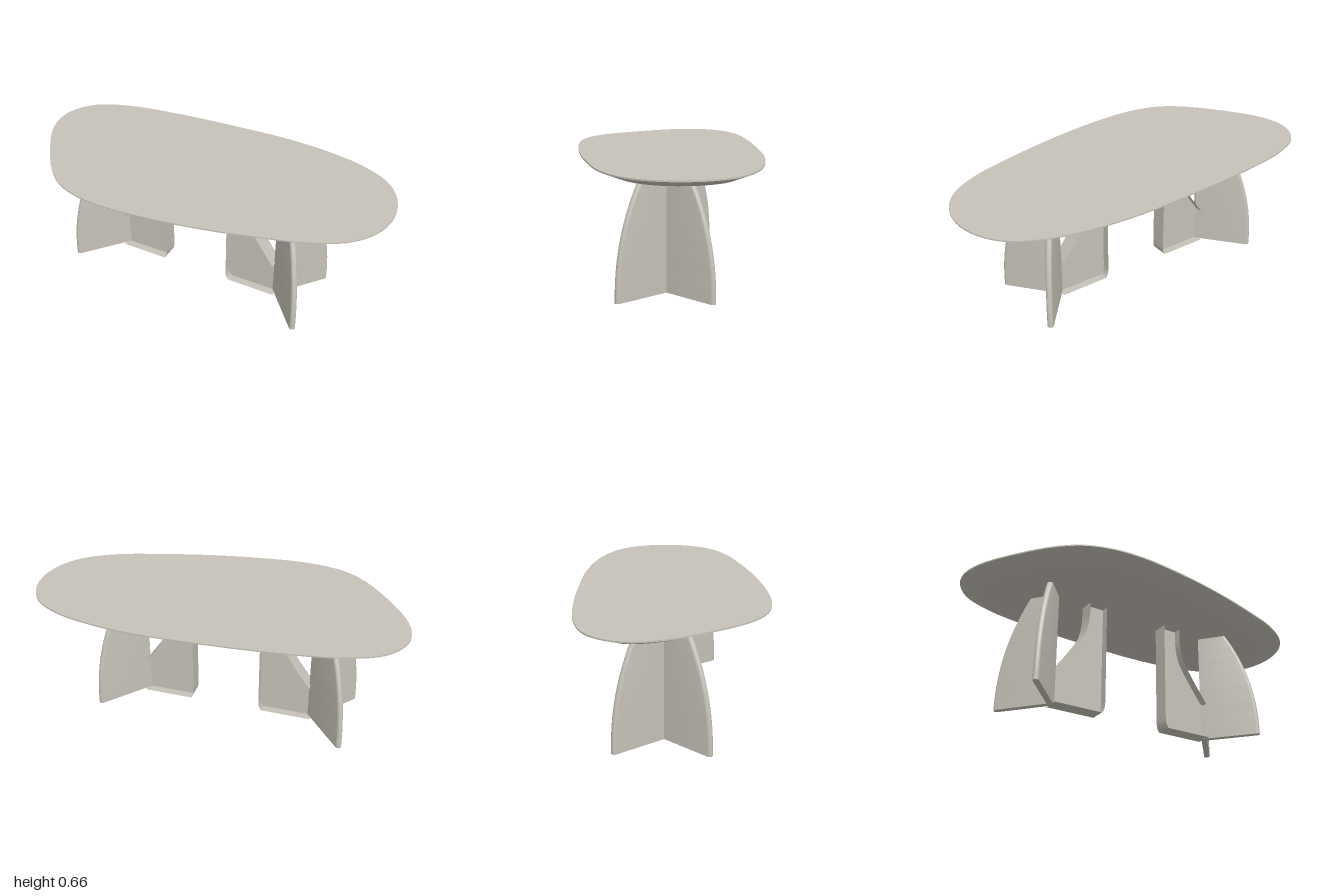
import * as THREE from 'three';
import { toCreasedNormals } from 'three/addons/utils/BufferGeometryUtils.js';

const TOP = 0.663, UNDER = 0.625;

// Solid skinned over rings of [x, z] points (counter-clockwise from above), stacked upward and capped.
function loft(rings, heights) {
  const n = rings[0].length, pos = [], index = [];
  rings.forEach((ring, k) => ring.forEach(([x, z]) => pos.push(x, heights[k], z)));
  for (let k = 0; k < rings.length - 1; k++) {
    for (let i = 0; i < n; i++) {
      const a = k * n + i, b = k * n + (i + 1) % n;
      index.push(a, b, b + n, a, b + n, a + n);
    }
  }
  const cap = (k) => THREE.ShapeUtils.triangulateShape(rings[k].map(([x, z]) => new THREE.Vector2(x, -z)), []);
  const last = rings.length - 1;
  cap(0).forEach(([a, b, c]) => index.push(a, c, b));
  cap(last).forEach((f) => index.push(...f.map((v) => v + last * n)));
  const g = new THREE.BufferGeometry();
  g.setAttribute('position', new THREE.Float32BufferAttribute(pos, 3));
  g.setIndex(index);
  return toCreasedNormals(g, 0.45);
}

// Free-form top: thin upright rim, then a wide undercut bevel
function tabletopGeometry() {
  const outline = [
    [1, -0.08], [0.975, -0.22], [0.89, -0.35], [0.73, -0.44], [0.51, -0.492], [0.25, -0.511],
    [0, -0.503], [-0.4, -0.473], [-0.72, -0.42], [-0.9, -0.34], [-0.982, -0.23], [-1, -0.13],
    [-0.968, 0], [-0.866, 0.17], [-0.716, 0.355], [-0.6, 0.444], [-0.476, 0.487], [-0.316, 0.502],
    [-0.075, 0.482], [0.19, 0.437], [0.46, 0.37], [0.727, 0.283], [0.888, 0.182], [0.972, 0.06],
  ];
  const curve = new THREE.CatmullRomCurve3(outline.map(([x, z]) => new THREE.Vector3(x, 0, z)), true);
  const N = 120;
  const ring = (inset) => Array.from({ length: N }, (_, i) => {
    const p = curve.getPointAt(i / N), t = curve.getTangentAt(i / N);
    return [p.x + t.z * inset, p.z - t.x * inset];
  });
  return loft([ring(0.08), ring(0), ring(0)], [UNDER, 0.656, TOP]);
}

// Upright panel running along +x, its rounded outer edge sweeping inward toward the top
function wingGeometry() {
  const half = 0.016, rows = 20, rings = [], heights = [];
  for (let k = 0; k <= rows; k++) {
    const t = k / rows, reach = 0.313 - 0.168 * Math.pow(t, 2.2) - half;
    const ring = [[-0.013, -half], [-0.013, half]];
    for (let i = 0; i <= 10; i++) {
      const a = -Math.PI / 2 + (Math.PI * i) / 10;
      ring.push([reach + half * Math.cos(a), -half * Math.sin(a)]);
    }
    rings.push(ring);
    heights.push(t * (UNDER + 0.004));
  }
  return loft(rings, heights);
}

// Outline of the inner fin, from the tip of its curved cut round to the foot
function finPath() {
  const cut = new THREE.CatmullRomCurve3(
    [[0, 0.2], [-0.1, 0.342], [-0.153, 0.433], [-0.173, 0.52], [-0.176, UNDER]]
      .map(([x, y]) => new THREE.Vector3(x, y, 0))).getPoints(20);
  const corner = new THREE.QuadraticBezierCurve3(
    new THREE.Vector3(-0.28, 0.065, 0), new THREE.Vector3(-0.28, 0.015, 0),
    new THREE.Vector3(-0.262, 0.001, 0)).getPoints(8);
  return { cut, edge: [new THREE.Vector3(-0.28, UNDER, 0), ...corner, new THREE.Vector3(0.01, 0.001, 0)] };
}

// Thin strip following a path, centred on the fin
function flangeGeometry(path, width) {
  const pos = [], index = [];
  path.forEach((p, i) => {
    pos.push(p.x, p.y, width / 2, p.x, p.y, -width / 2);
    if (i) index.push(2 * i - 2, 2 * i - 1, 2 * i, 2 * i - 1, 2 * i + 1, 2 * i);
  });
  const g = new THREE.BufferGeometry();
  g.setAttribute('position', new THREE.Float32BufferAttribute(pos, 3));
  g.setIndex(index);
  return toCreasedNormals(g, 0.5);
}

export function createModel() {
  const stone = new THREE.MeshStandardMaterial({ color: 0xc6c2b8, side: THREE.DoubleSide });
  stone.name = 'warm grey';
  const model = new THREE.Group();
  model.name = 'table';
  const add = (parent, name, geometry) => {
    const mesh = new THREE.Mesh(geometry, stone);
    mesh.name = name;
    parent.add(mesh);
    return mesh;
  };

  add(model, 'tabletop', tabletopGeometry());

  const wing = wingGeometry();
  const { cut, edge } = finPath();
  const web = new THREE.ShapeGeometry(
    new THREE.Shape([...cut, ...edge].map((p) => new THREE.Vector2(p.x, p.y))));
  const cutFlange = flangeGeometry(cut, 0.09);
  const edgeFlange = flangeGeometry(edge, 0.09);

  // Two three-armed bases, one turned half round
  for (const side of [1, -1]) {
    const base = new THREE.Group();
    base.name = side > 0 ? 'leftBase' : 'rightBase';
    base.position.set(-0.04 + side * 0.47, 0, -0.02);
    base.rotation.y = side > 0 ? 0 : Math.PI;
    for (const s of [1, -1]) {
      const panel = add(base, s > 0 ? 'backWing' : 'frontWing', wing);
      panel.position.x = 0.012;
      panel.rotation.y = s * THREE.MathUtils.degToRad(50);
    }
    add(base, 'finWeb', web);
    add(base, 'finCutFlange', cutFlange);
    add(base, 'finEdgeFlange', edgeFlange);
    model.add(base);
  }
  return model;
}
